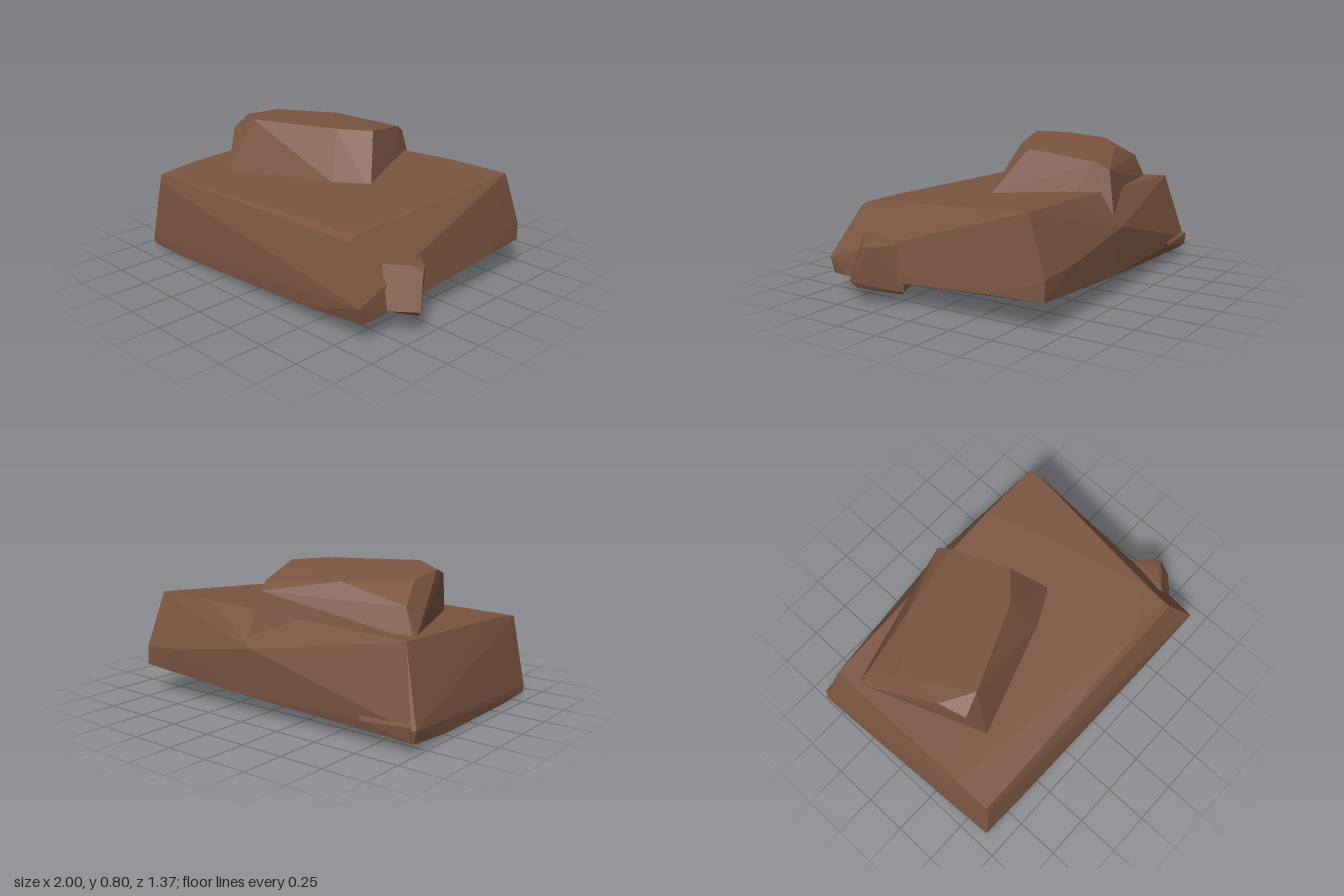
import * as THREE from 'three';
import { ConvexGeometry } from 'three/addons/geometries/ConvexGeometry.js';

const rockBrown = new THREE.MeshStandardMaterial({ color: 0x7a5541, flatShading: true });
rockBrown.name = 'rockBrown';

// A faceted stone: the convex hull of its chiselled corners
function stone(name, corners) {
  const geometry = new ConvexGeometry(corners.map(c => new THREE.Vector3(...c)));
  const mesh = new THREE.Mesh(geometry, rockBrown);
  mesh.name = name;
  return mesh;
}

export function createModel() {
  const group = new THREE.Group();
  group.name = 'rockPile';

  // Wide tilted slab
  group.add(stone('baseSlab', [
    // top face
    [-0.87, 0.47, 0.60], [-0.6, 0.475, 0.60], [0.42, 0.505, 0.555], [0.69, 0.505, 0.55],
    [0.69, 0.525, 0.40], [0.785, 0.59, -0.57], [0.4, 0.587, -0.57],
    [-0.43, 0.545, -0.52], [-0.88, 0.53, -0.52], [-0.87, 0.495, 0.38],
    // front wall
    [-0.87, 0.42, 0.615], [0.70, 0.48, 0.585], [0.855, 0.21, 0.683], [0.85, 0.12, 0.66],
    [0.47, 0.085, 0.67], [-0.6, 0.02, 0.65], [-0.93, 0.06, 0.645], [-0.93, 0.02, 0.64],
    // right wall
    [0.86, 0.12, 0.55], [0.855, 0.135, 0.23], [0.84, 0.165, -0.38],
    [0.82, 0.17, -0.68], [0.815, 0.28, -0.68], [0.79, 0.54, -0.585],
    // back wall
    [0.55, 0.3, -0.685], [0, 0.385, -0.67], [0.1, 0.12, -0.66], [-0.98, 0.13, -0.615],
    // left wall and underside
    [-1, 0.13, -0.6], [-0.985, 0.06, -0.60], [-0.975, 0.03, -0.3], [-0.93, 0.005, 0.38],
  ]));

  // Turned boulder resting on the slab
  group.add(stone('topBoulder', [
    // top face
    [-0.49, 0.805, 0.19], [0, 0.80, -0.02], [0.15, 0.79, -0.16], [0.03, 0.73, -0.51],
    [0, 0.685, -0.585], [-0.67, 0.785, 0.08], [-0.70, 0.765, -0.18], [-0.40, 0.755, -0.41],
    [-0.62, 0.74, 0.23], [-0.77, 0.66, -0.36],
    // foot, sunk into the slab
    [-0.84, 0.51, -0.40], [-0.84, 0.53, -0.36], [0.04, 0.45, -0.635], [0.14, 0.5, -0.40],
    [0.29, 0.54, 0], [0.27, 0.54, 0.02], [0.09, 0.53, 0.11], [-0.57, 0.50, 0.327],
    [-0.3, 0.4, -0.1],
  ]));

  // Small stone leaning on the right wall
  group.add(stone('sideStone', [
    [0.80, 0.365, 0.47], [0.90, 0.355, 0.36], [0.96, 0.33, 0.34], [0.93, 0.335, 0.29],
    [0.83, 0.335, 0.21], [1, 0.145, 0.40], [0.97, 0.11, 0.38], [0.82, 0.065, 0.20],
    [0.83, 0.08, 0.18], [0.63, 0.10, 0.25], [0.88, 0.15, 0.51], [0.68, 0.15, 0.42],
    [0.7, 0.3, 0.3],
  ]));

  // Thin flake at the back left corner
  group.add(stone('cornerFlake', [
    [-0.98, 0.15, -0.63], [-0.98, 0.08, -0.625], [-0.70, 0.13, -0.64], [-0.68, 0.15, -0.63],
    [-0.99, 0.05, -0.56], [-0.75, 0.1, -0.58], [-0.96, 0.17, -0.6],
  ]));

  return group;
}
